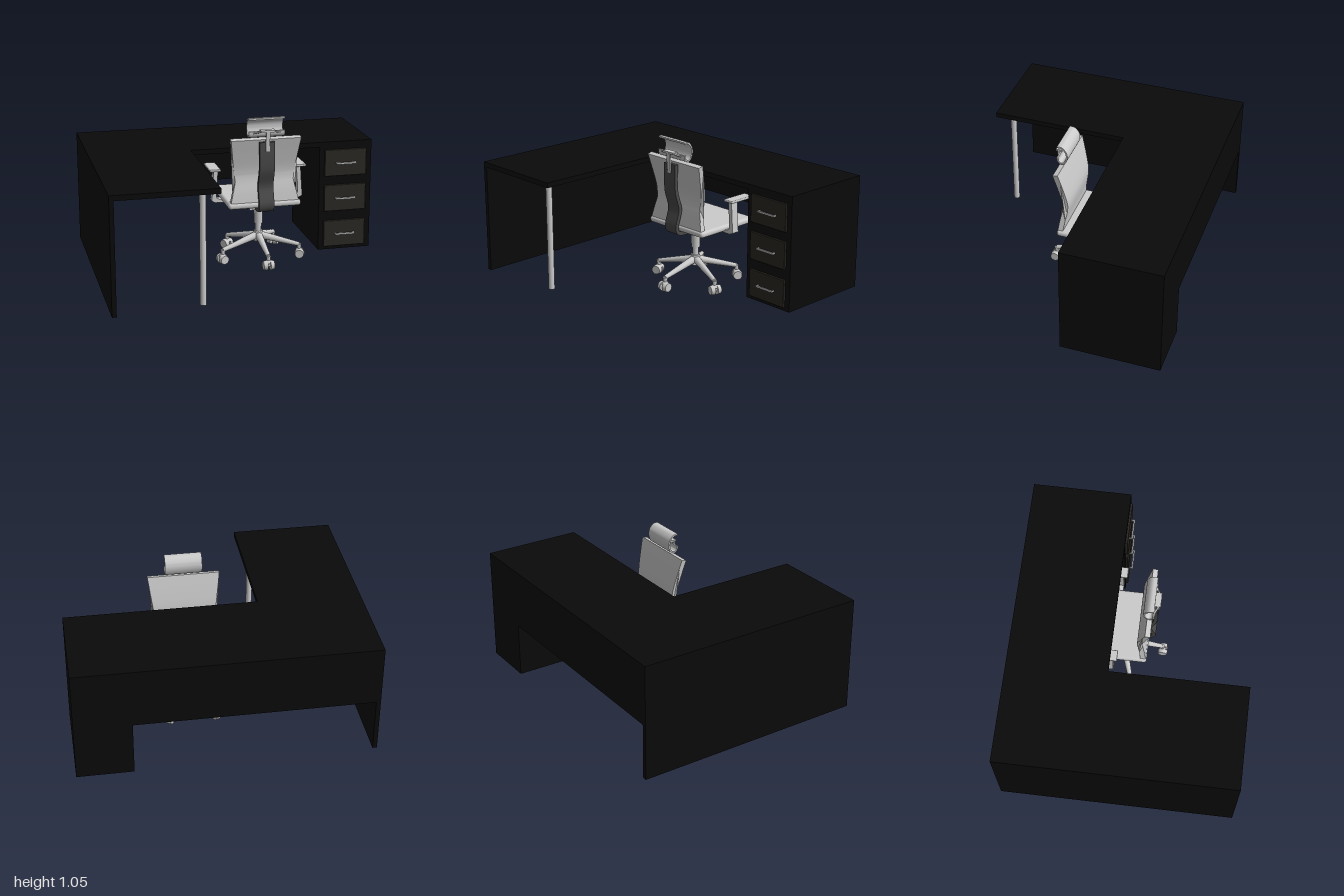
import * as THREE from 'three';
import { toCreasedNormals } from 'three/addons/utils/BufferGeometryUtils.js';
import { RoundedBoxGeometry } from 'three/addons/geometries/RoundedBoxGeometry.js';

const paint = (color) => new THREE.MeshStandardMaterial({ color });
const grey = paint(0xcccccc), black = paint(0x0a0a0a), drawerDark = paint(0x2a2823), spineDark = paint(0x4a4a4a);

function add(parent, name, geometry, material = grey) {
  const mesh = new THREE.Mesh(geometry, material);
  mesh.name = name;
  parent.add(mesh);
  return mesh;
}

// Box given by its min and max on each axis
function box(parent, name, [x0, x1], [y0, y1], [z0, z1], material) {
  const mesh = add(parent, name, new THREE.BoxGeometry(x1 - x0, y1 - y0, z1 - z0), material);
  mesh.position.set((x0 + x1) / 2, (y0 + y1) / 2, (z0 + z1) / 2);
  return mesh;
}

// Tapered round bar between two points
function bar(parent, name, a, b, ra, rb, sides = 16) {
  const from = new THREE.Vector3(...a), to = new THREE.Vector3(...b);
  const dir = to.clone().sub(from);
  const mesh = add(parent, name, new THREE.CylinderGeometry(rb, ra, dir.length(), sides));
  mesh.position.copy(from).add(to).multiplyScalar(0.5);
  mesh.quaternion.setFromUnitVectors(new THREE.Vector3(0, 1, 0), dir.normalize());
  return mesh;
}

// Bent sheet: a side path of (z, y) points, thickened and extruded across x
function ribbon(path, thickness, width, tension = 0.5, samples = 28) {
  const curve = new THREE.CatmullRomCurve3(path.map(([z, y]) => new THREE.Vector3(z, y, 0)), false, 'catmullrom', tension);
  const front = [], back = [];
  for (let i = 0; i <= samples; i++) {
    const p = curve.getPoint(i / samples), t = curve.getTangent(i / samples);
    const nx = -t.y * thickness / 2, ny = t.x * thickness / 2;
    front.push(new THREE.Vector2(p.x + nx, p.y + ny));
    back.unshift(new THREE.Vector2(p.x - nx, p.y - ny));
  }
  const geometry = new THREE.ExtrudeGeometry(new THREE.Shape([...front, ...back]), { depth: width, bevelEnabled: false });
  geometry.translate(0, 0, -width / 2).rotateY(-Math.PI / 2);
  return toCreasedNormals(geometry, 0.6);
}

function makeDesk() {
  const desk = new THREE.Group();
  desk.name = 'desk';

  // L-shaped top
  const outline = new THREE.Shape([[-1, -0.81], [-0.3, -0.81], [-0.3, 0.13], [1, 0.13], [1, 0.81], [-1, 0.81]]
    .map(([x, y]) => new THREE.Vector2(x, y)));
  const top = new THREE.ExtrudeGeometry(outline, { depth: 0.035, bevelEnabled: false });
  add(desk, 'desktop', top.rotateX(-Math.PI / 2).translate(0, 0.757, 0), black);

  box(desk, 'sidePanel', [-1, -0.97], [0, 0.757], [-0.81, 0.81], black);
  box(desk, 'backPanel', [-0.97, 0.62], [0.38, 0.757], [-0.81, -0.78], black);
  box(desk, 'drawerCabinet', [0.62, 1], [0, 0.757], [-0.81, -0.13], black);
  bar(desk, 'deskLeg', [-0.4, 0, 0.72], [-0.4, 0.757, 0.72], 0.021, 0.021, 24);

  // Drawers with bar handles
  for (const y of [0.12, 0.383, 0.64]) {
    const front = add(desk, 'drawerFront', new RoundedBoxGeometry(0.305, 0.192, 0.02, 2, 0.005), drawerDark);
    front.position.set(0.808, y, -0.125);
    box(desk, 'drawerHandle', [0.735, 0.88], [y - 0.006, y + 0.006], [-0.1, -0.09]);
    for (const x of [0.735, 0.872]) box(desk, 'handlePost', [x, x + 0.008], [y - 0.005, y + 0.005], [-0.118, -0.095]);
  }
  return desk;
}

function makeChairBase() {
  const base = new THREE.Group();
  base.name = 'chairBase';
  bar(base, 'hub', [0, 0.125, 0], [0, 0.195, 0], 0.04, 0.03, 24);
  bar(base, 'gasColumn', [0, 0.19, 0], [0, 0.32, 0], 0.022, 0.022, 24);
  bar(base, 'columnCover', [0, 0.25, 0], [0, 0.39, 0], 0.029, 0.033, 24);

  // Five arms, each with a twin-wheel caster
  for (let i = 0; i < 5; i++) {
    const arm = new THREE.Group();
    arm.name = 'baseArm';
    arm.rotation.y = i * Math.PI * 2 / 5;
    bar(arm, 'armBeam', [0, 0.163, 0.01], [0, 0.098, 0.288], 0.027, 0.015, 12);
    bar(arm, 'casterStem', [0, 0.04, 0.288], [0, 0.1, 0.288], 0.012, 0.016);
    add(arm, 'casterHood', new THREE.SphereGeometry(0.025, 16, 8, 0, Math.PI * 2, 0, Math.PI / 2)).position.set(0, 0.05, 0.288);
    for (const s of [-1, 1]) bar(arm, 'casterWheel', [s * 0.01, 0.035, 0.292], [s * 0.038, 0.035, 0.292], 0.035, 0.03, 20);
    bar(arm, 'casterAxle', [-0.02, 0.035, 0.292], [0.02, 0.035, 0.292], 0.012, 0.012, 10);
    base.add(arm);
  }
  base.position.z = -0.095;
  return base;
}

function makeChair() {
  const chair = new THREE.Group();
  chair.name = 'chair';
  chair.add(makeChairBase());

  // Seat, with the far edge dipping down
  const seat = new RoundedBoxGeometry(0.51, 0.044, 0.5, 5, 0.02);
  add(chair, 'seat', seat).position.set(0, 0.436, -0.15);
  box(chair, 'seatMechanism', [-0.09, 0.09], [0.38, 0.42], [-0.21, 0.02]);

  // Backrest: bent side profile, waisted at lumbar height
  const back = ribbon([[0.076, 0.455], [0.066, 0.53], [0.05, 0.62], [0.052, 0.69], [0.076, 0.8], [0.104, 0.908]], 0.036, 1);
  const p = back.attributes.position;
  for (let i = 0; i < p.count; i++) {
    const y = p.getY(i);
    const width = y > 0.6 ? 0.405 + (y - 0.6) * 0.27 : 0.405 + (0.6 - y) * 0.5;
    p.setX(i, p.getX(i) * width);
  }
  add(chair, 'backrest', toCreasedNormals(back, 0.6));

  // Dark spine behind the backrest, curling under the seat
  const spine = ribbon([[0.138, 0.89], [0.14, 0.78], [0.133, 0.69], [0.105, 0.6], [0.103, 0.55], [0.13, 0.46],
    [0.12, 0.415], [0.08, 0.4], [0, 0.398]], 0.026, 0.105, 0.4, 40);
  add(chair, 'backSpine', spine, spineDark);

  // Headrest: open curl on a bracket
  const curl = ribbon([[0.132, 1.048], [0.1, 1.046], [0.072, 1.015], [0.066, 0.975], [0.08, 0.935], [0.105, 0.924],
    [0.125, 0.938], [0.13, 0.965]], 0.011, 0.25, 0.5, 32);
  add(chair, 'headrest', curl);
  add(chair, 'headrestStem', ribbon([[0.152, 0.83], [0.158, 0.9], [0.163, 0.968]], 0.011, 0.028));
  box(chair, 'headrestBracket', [-0.05, 0.05], [0.962, 0.976], [0.125, 0.168]);

  for (const s of [-1, 1]) {
    bar(chair, 'headrestStrut', [s * 0.04, 0.968, 0.155], [s * 0.1, 0.95, 0.128], 0.007, 0.005, 8);

    // Armrest: pad, upright post and bracket to the seat
    const arm = new THREE.Group();
    arm.name = 'armrest';
    const pad = add(arm, 'armPad', new RoundedBoxGeometry(0.077, 0.018, 0.2, 3, 0.006));
    pad.position.set(s * 0.305, 0.645, -0.19);
    const support = new THREE.Shape([[0.28, 0.64], [0.31, 0.64], [0.318, 0.52], [0.325, 0.42], [0.3, 0.408], [0.15, 0.408],
      [0.15, 0.425], [0.27, 0.43], [0.293, 0.445], [0.288, 0.53]].map(([x, y]) => new THREE.Vector2(s * x, y)));
    add(arm, 'armSupport', new THREE.ExtrudeGeometry(support, { depth: 0.055, bevelEnabled: false })).position.z = -0.175;
    chair.add(arm);
  }
  chair.position.x = 0.168;
  return chair;
}

export function createModel() {
  const model = new THREE.Group();
  model.name = 'deskWithChair';
  model.add(makeDesk(), makeChair());
  return model;
}
